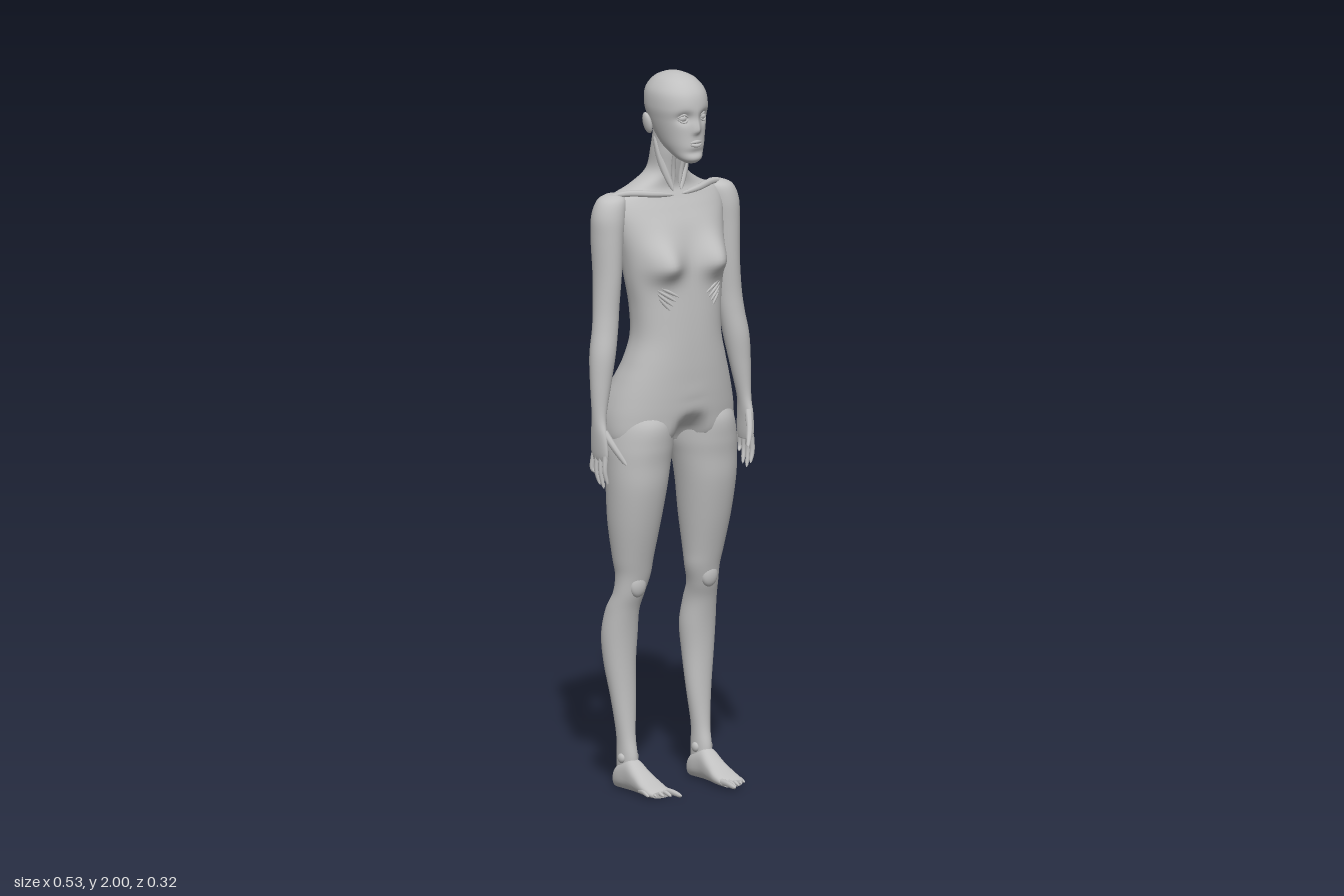
import * as THREE from 'three';

const skin = new THREE.MeshStandardMaterial({ color: 0xc0c0c0 });
skin.name = 'clay grey';
const V = (x, y, z) => new THREE.Vector3(x, y, z);
const gauss = (d, w) => Math.exp(-(d / w) * (d / w));

function add(parent, name, geometry) {
  const mesh = new THREE.Mesh(geometry, skin);
  mesh.name = name;
  parent.add(mesh);
  return mesh;
}

// Smooth interpolation between rows of numbers
function sample(rows, t) {
  const f = Math.min(t * (rows.length - 1), rows.length - 1.0001);
  const i = Math.floor(f), u = f - i, at = k => rows[Math.max(0, Math.min(rows.length - 1, k))];
  return rows[i].map((_, c) => {
    const a = at(i - 1)[c], b = at(i)[c], d = at(i + 1)[c], e = at(i + 2)[c];
    return b + 0.5 * u * (d - a + u * (2 * a - 5 * b + 4 * d - e + u * (3 * (b - d) + e - a)));
  });
}

// Closed skin through cross-sections; point(row, cos, sin) gives one corner
function loft(rows, steps, segs, power, point) {
  const pos = [], idx = [];
  const bend = v => Math.sign(v) * Math.pow(Math.abs(v), 2 / power);
  for (let i = 0; i <= steps; i++) {
    const row = sample(rows, i / steps);
    for (let j = 0; j < segs; j++) {
      const a = j / segs * Math.PI * 2;
      pos.push(...point(row, bend(Math.cos(a)), bend(Math.sin(a))));
    }
  }
  for (let i = 0; i < steps; i++) for (let j = 0; j < segs; j++) {
    const a = i * segs + j, b = i * segs + (j + 1) % segs;
    idx.push(a, a + segs, b, b, a + segs, b + segs);
  }
  // End caps
  for (const start of [0, steps * segs]) {
    const c = [0, 0, 0], n = pos.length / 3;
    for (let j = 0; j < segs; j++) for (let k = 0; k < 3; k++) c[k] += pos[(start + j) * 3 + k] / segs;
    pos.push(...c);
    for (let j = 0; j < segs; j++) {
      const a = start + j, b = start + (j + 1) % segs;
      if (start) idx.push(n, b, a); else idx.push(n, a, b);
    }
  }
  // Turn the faces outward
  let volume = 0;
  const p = k => V(pos[k * 3], pos[k * 3 + 1], pos[k * 3 + 2]);
  for (let k = 0; k < idx.length; k += 3) volume += p(idx[k]).dot(p(idx[k + 1]).cross(p(idx[k + 2])));
  if (volume < 0) idx.reverse();
  const g = new THREE.BufferGeometry();
  g.setAttribute('position', new THREE.Float32BufferAttribute(pos, 3));
  g.setIndex(idx);
  g.computeVertexNormals();
  return g;
}

// Tube whose radius follows a profile
function strand(points, radius, profile = t => Math.sqrt(Math.sin(Math.PI * t) + 0.001)) {
  const curve = new THREE.CatmullRomCurve3(points), n = 14, m = 8;
  const g = new THREE.TubeGeometry(curve, n, radius, m), p = g.attributes.position;
  for (let i = 0; i <= n; i++) {
    const c = curve.getPointAt(i / n);
    for (let j = 0; j <= m; j++) {
      const k = i * (m + 1) + j;
      const v = V(p.getX(k), p.getY(k), p.getZ(k)).sub(c).multiplyScalar(profile(i / n)).add(c);
      p.setXYZ(k, v.x, v.y, v.z);
    }
  }
  return g;
}
const digit = t => (1 - 0.35 * t) * Math.sqrt(1.0001 - Math.pow(t, 8));

function ball(parent, name, x, y, z, sx, sy, sz) {
  const mesh = add(parent, name, new THREE.SphereGeometry(1, 20, 14));
  mesh.position.set(x, y, z);
  mesh.scale.set(sx, sy, sz);
  return mesh;
}

// y, half width, front z, back z, front cleft, back cleft
const TORSO = [
  [0.965, 0.188, 0.055, -0.118, 0.95, 0.95], [1.0, 0.199, 0.08, -0.148, 0.7, 0.65],
  [1.05, 0.198, 0.088, -0.164, 0.08, 0.32], [1.1, 0.187, 0.092, -0.156, 0, 0.2],
  [1.15, 0.17, 0.094, -0.129, 0, 0.1], [1.2, 0.152, 0.095, -0.104, 0, 0.08],
  [1.27, 0.134, 0.094, -0.088, 0, 0.1], [1.35, 0.136, 0.09, -0.088, 0, 0.12],
  [1.43, 0.148, 0.083, -0.096, 0, 0.14], [1.5, 0.158, 0.072, -0.112, 0, 0.15],
  [1.57, 0.172, 0.053, -0.125, 0, 0.14], [1.62, 0.18, 0.03, -0.126, 0, 0.1],
  [1.655, 0.165, 0.012, -0.12, 0, 0.05], [1.68, 0.11, 0.004, -0.108, 0, 0],
  [1.72, 0.056, 0.012, -0.092, 0, 0], [1.78, 0.05, 0.025, -0.075, 0, 0], [1.84, 0.05, 0.03, -0.06, 0, 0]];

// y, half width, front z, back z
const HEAD = [
  [1.757, 0.016, 0.092, 0.055], [1.77, 0.034, 0.104, 0.025], [1.8, 0.05, 0.105, -0.03],
  [1.835, 0.061, 0.103, -0.06], [1.875, 0.071, 0.103, -0.083], [1.91, 0.077, 0.106, -0.094],
  [1.95, 0.073, 0.096, -0.09], [1.98, 0.052, 0.068, -0.066], [1.995, 0.025, 0.034, -0.034], [2.0, 0.004, 0.005, -0.005]];

// y, centre x, centre z, half width, half depth
const ARM = [
  [1.667, 0.172, -0.05, 0.018, 0.018], [1.652, 0.18, -0.046, 0.04, 0.038], [1.61, 0.19, -0.045, 0.047, 0.048],
  [1.55, 0.195, -0.045, 0.043, 0.05], [1.45, 0.198, -0.04, 0.038, 0.045], [1.36, 0.205, -0.035, 0.036, 0.038],
  [1.3, 0.212, -0.03, 0.036, 0.036], [1.23, 0.224, -0.025, 0.036, 0.037], [1.15, 0.234, -0.02, 0.029, 0.03],
  [1.06, 0.243, -0.015, 0.018, 0.024], [1.01, 0.245, -0.012, 0.014, 0.034], [0.96, 0.244, -0.01, 0.011, 0.037],
  [0.94, 0.243, -0.01, 0.008, 0.032]];

// y, inner x, outer x, front z, back z
const LEG = [
  [1.08, 0.02, 0.16, 0.055, -0.115], [1.03, 0.012, 0.188, 0.08, -0.152], [0.97, 0.012, 0.2, 0.079, -0.143],
  [0.92, 0.022, 0.2, 0.073, -0.113], [0.85, 0.033, 0.198, 0.067, -0.103], [0.75, 0.046, 0.19, 0.047, -0.098],
  [0.65, 0.06, 0.175, 0.022, -0.085], [0.6, 0.066, 0.166, 0.01, -0.078], [0.55, 0.079, 0.167, -0.002, -0.084],
  [0.5, 0.084, 0.175, -0.018, -0.11], [0.43, 0.08, 0.181, -0.03, -0.124], [0.35, 0.085, 0.176, -0.035, -0.116],
  [0.25, 0.09, 0.162, -0.033, -0.096], [0.15, 0.1, 0.15, -0.025, -0.083], [0.09, 0.1, 0.148, -0.012, -0.086],
  [0.035, 0.1, 0.147, -0.01, -0.085]];

// z, centre x, half width, height
const FOOT = [
  [-0.092, 0.125, 0.012, 0.035], [-0.083, 0.124, 0.025, 0.056], [-0.06, 0.124, 0.03, 0.075], [-0.02, 0.124, 0.03, 0.088],
  [0.02, 0.123, 0.033, 0.064], [0.06, 0.122, 0.038, 0.041], [0.095, 0.122, 0.037, 0.026], [0.108, 0.12, 0.03, 0.018]];

export function createModel() {
  const figure = new THREE.Group();
  figure.name = 'figure';

  // Torso and neck with chest, buttock cleft and spine groove
  add(figure, 'torso', loft(TORSO, 110, 80, 2.3, ([y, rx, zf, zb, cf, cb], c, s) => {
    const x = rx * c, mid = (zf + zb) / 2;
    let z = (zf - zb) / 2 * s;
    z *= 1 - (s > 0 ? cf : cb) * gauss(x, 0.035);
    if (s > 0) z += 0.047 * Math.min(1, s * 1.5) * gauss(Math.abs(x) - 0.085, 0.05) * gauss(y - 1.475, y < 1.475 ? 0.04 : 0.065);
    return [x, y, mid + z];
  }));

  // Head with hollowed eye sockets and a raised nose
  const head = new THREE.Group();
  head.name = 'head';
  figure.add(head);
  add(head, 'skull', loft(HEAD, 70, 64, 2.15, ([y, rx, zf, zb], c, s) => {
    const x = rx * c;
    let z = (zf + zb) / 2 + (zf - zb) / 2 * s;
    if (s > 0) {
      z -= 0.014 * gauss(Math.abs(x) - 0.032, 0.018) * gauss(y - 1.885, 0.016);
      z += 0.014 * gauss(x, 0.011) * gauss(y - 1.85, y < 1.85 ? 0.01 : 0.03);
      z -= 0.006 * gauss(y - 1.788, 0.01) * gauss(x, 0.03);
    }
    return [x, y, z];
  }));
  for (const [name, y] of [['upperLip', 1.819], ['lowerLip', 1.808]])
    add(head, name, strand([V(-0.026, 1.813, 0.092), V(0, y, 0.106), V(0.026, 1.813, 0.092)], 0.005));

  for (const side of [1, -1]) {
    const half = new THREE.Group();
    half.name = side > 0 ? 'leftSide' : 'rightSide';
    figure.add(half);
    const P = (x, y, z) => V(side * x, y, z);

    // Face details
    ball(half, 'eye', side * 0.032, 1.884, 0.081, 0.013, 0.01, 0.01);
    for (const lift of [0.011, -0.011])
      add(half, 'eyelid', strand([P(0.016, 1.884, 0.091), P(0.032, 1.884 + lift, 0.091), P(0.049, 1.884, 0.077)], 0.003));
    ball(half, 'ear', side * 0.083, 1.862, -0.012, 0.01, 0.031, 0.017).rotation.z = -side * 0.25;

    // Neck cords and collarbone
    add(half, 'neckCord', strand([P(0.012, 1.665, 0.012), P(0.034, 1.73, -0.003), P(0.052, 1.82, -0.025)], 0.012));
    add(half, 'throatCord', strand([P(0.01, 1.68, 0.008), P(0.014, 1.73, 0.013), P(0.02, 1.79, 0.03)], 0.007));
    add(half, 'collarbone', strand([P(0.01, 1.655, 0.012), P(0.07, 1.663, 0.006), P(0.14, 1.668, -0.025), P(0.2, 1.66, -0.05)], 0.01));

    // Rib strands below the chest
    const front = x => 0.086 * Math.pow(1 - Math.pow(x / 0.143, 2.3), 0.435);
    for (let i = 0; i < 4; i++) {
      const line = [0, 0.5, 1].map(t => {
        const x = 0.042 + 0.008 * i + t * (0.07 - 0.012 * i);
        return P(x, 1.385 - 0.013 * i + t * 0.04, front(x));
      });
      add(half, 'rib', strand(line, 0.005));
    }

    // Arm, fingers and thumb
    add(half, 'arm', loft(ARM, 70, 32, 2, ([y, cx, cz, rx, rz], c, s) => [side * (cx + rx * c), y, cz + rz * s]));
    [0.9, 0.868, 0.86, 0.875].forEach((tip, i) => {
      const z = -0.037 + 0.018 * i;
      add(half, 'finger', strand([P(0.244, 0.955, z), P(0.247, 0.91, z * 1.1), P(0.239, tip, z + 0.004)], 0.0085, digit));
    });
    add(half, 'thumb', strand([P(0.242, 1.02, 0.008), P(0.225, 0.975, 0.037), P(0.203, 0.93, 0.06)], 0.011, digit));

    // Leg, kneecap and ankle bones
    add(half, 'leg', loft(LEG, 90, 44, 2.1, ([y, xi, xo, zf, zb], c, s) =>
      [side * ((xi + xo) / 2 + (xo - xi) / 2 * c), y, (zf + zb) / 2 + (zf - zb) / 2 * s]));
    ball(half, 'kneecap', side * 0.12, 0.575, -0.006, 0.026, 0.034, 0.016);
    for (const x of [0.102, 0.146]) ball(half, 'ankleBone', side * x, 0.088, -0.045, 0.009, 0.014, 0.014);

    // Foot and toes
    add(half, 'foot', loft(FOOT, 40, 32, 2.4, ([z, cx, rx, h], c, s) => [side * (cx + rx * c), h * (0.5 + 0.5 * s), z]));
    for (let i = 0; i < 5; i++) {
      const r = i ? 0.0075 : 0.01;
      add(half, 'toe', strand([P(0.095 + 0.0145 * i, 0.015, 0.085 - 0.008 * i), P(0.093 + 0.0165 * i, 0.015, 0.12 - 0.01 * i),
        P(0.09 + 0.0178 * i, r, 0.16 - (i ? 0.012 + 0.011 * i : 0))], r, digit));
    }
  }
  return figure;
}
